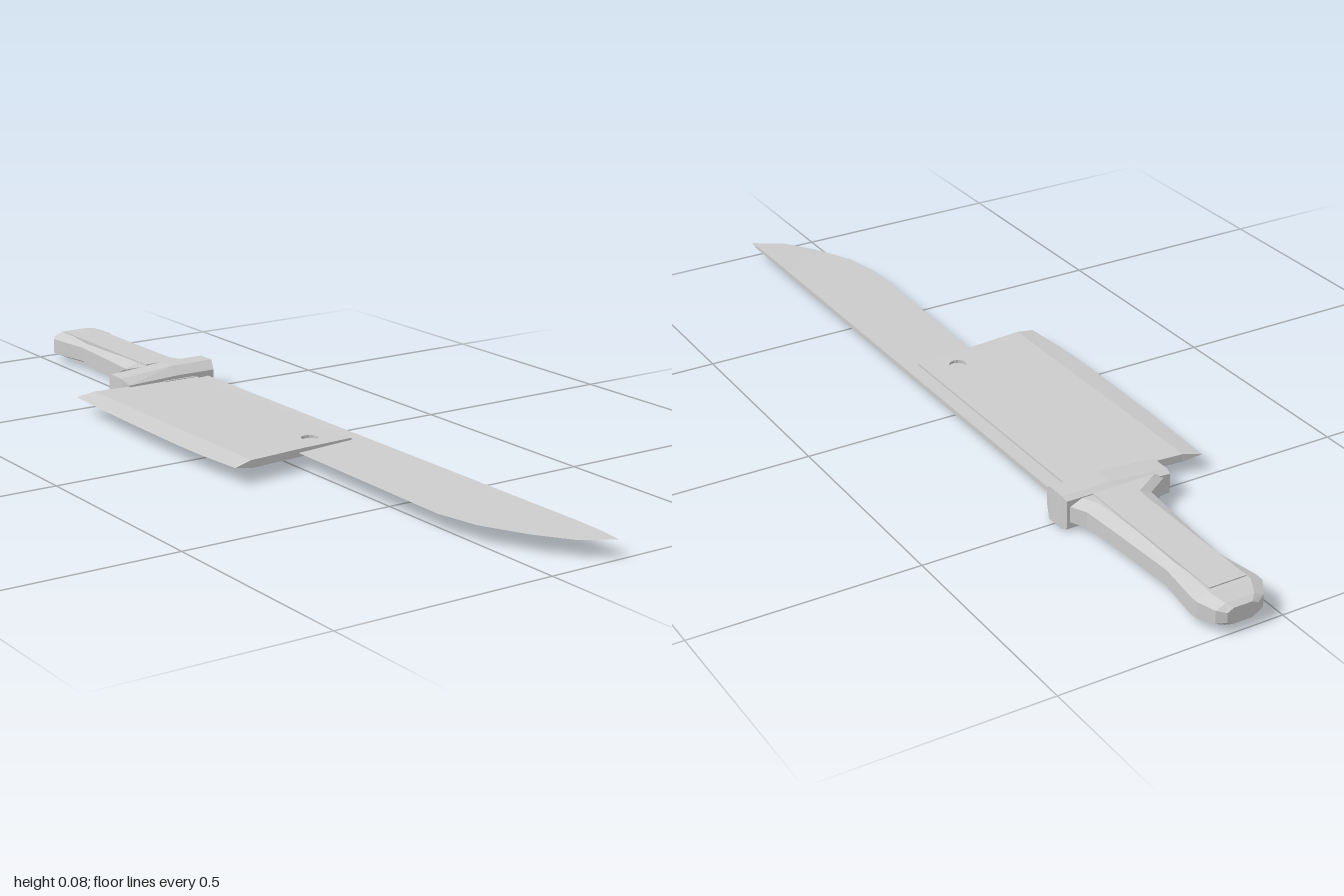
import * as THREE from 'three';

const MID = 0.038; // height of the flat middle plane
const material = new THREE.MeshStandardMaterial({ color: 0xcccccc, flatShading: true });

function part(name, geometry) {
  const mesh = new THREE.Mesh(geometry, material);
  mesh.name = name;
  return mesh;
}

// Skin convex cross-sections, ordered by rising z; points run counter-clockwise seen from +z
function loft(sections) {
  const pos = [];
  const tri = (...pts) => pts.forEach((p) => pos.push(...p));
  const rings = sections.map(([z, pts]) => pts.map(([x, y]) => [x, y, z]));
  const n = rings[0].length;
  for (let r = 0; r < rings.length - 1; r++) {
    for (let i = 0; i < n; i++) {
      const j = (i + 1) % n;
      const a = rings[r][i], b = rings[r][j], c = rings[r + 1][j], d = rings[r + 1][i];
      tri(a, b, c);
      tri(a, c, d);
    }
  }
  const first = rings[0], last = rings[rings.length - 1];
  for (let i = 1; i < n - 1; i++) {
    tri(first[0], first[i + 1], first[i]);
    tri(last[0], last[i], last[i + 1]);
  }
  const geometry = new THREE.BufferGeometry();
  geometry.setAttribute('position', new THREE.Float32BufferAttribute(pos, 3));
  geometry.computeVertexNormals();
  return geometry;
}

// Long knife blade: wedge with a thick spine at +x and a sharp edge at -x
function longBlade() {
  const spine = 0.17;
  const edge = [[-0.47, 0], [0.2, -0.01], [0.68, -0.02], [0.78, 0], [0.88, 0.05], [0.95, 0.1], [0.992, 0.165]];
  return loft(edge.map(([z, x]) => {
    const h = 0.0055 * Math.min(1, (spine - x) / 0.1);
    return [z, [[x, 0], [spine, -h], [spine, h]]];
  }));
}

// Cleaver body: flat plate with a round hanging hole
function cleaverPlate() {
  const outline = [[-0.14, -0.201], [0, -0.188], [0.135, -0.182], [0.135, 0.465], [0, 0.456], [-0.14, 0.468]];
  const shape = new THREE.Shape(outline.map(([x, y]) => new THREE.Vector2(x, y)));
  const hole = new THREE.Path();
  hole.absarc(0.06, -0.13, 0.02, 0, Math.PI * 2, true);
  shape.holes.push(hole);
  const geometry = new THREE.ExtrudeGeometry(shape, { depth: 0.018, bevelEnabled: false, curveSegments: 6 });
  return geometry.translate(0, 0, -0.009).rotateX(-Math.PI / 2);
}

// Ground cutting edge of the cleaver, gently curved
function cleaverEdge() {
  const stations = [[-0.476, -0.468, -0.184], [-0.25, -0.25, -0.193], [0, 0, -0.196], [0.1, 0.1, -0.193], [0.206, 0.201, -0.184]];
  const geometry = loft(stations.map(([z, , x]) => [z, [[x, 0], [-0.14, -0.009], [-0.14, 0.009]]]));
  // Slant both ends so they meet the plate
  const p = geometry.attributes.position;
  for (let i = 0; i < p.count; i++) {
    if (p.getX(i) > -0.15) {
      const s = stations.find((t) => Math.abs(t[0] - p.getZ(i)) < 1e-4);
      if (s) p.setZ(i, s[1]);
    }
  }
  geometry.computeVertexNormals();
  return geometry;
}

// Guard: tapers toward -x and is chamfered front and back
function guardGeometry() {
  const section = (inset, thin) => {
    const a = 0.026 * thin, b = 0.038 * thin;
    const x0 = -0.061 + inset, x1 = 0.194 - inset;
    return [[x0, -a], [0.08, -b], [x1, -b], [x1, b], [0.08, b], [x0, a]];
  };
  return loft([
    [-0.54, section(0.003, 0.85)],
    [-0.525, section(0, 1)],
    [-0.478, section(0, 1)],
    [-0.455, section(0.009, 0.5)],
  ]);
}

// Grip: eight-sided section, waisted, flared at the guard and swollen at the end
function gripGeometry() {
  const stations = [ // z, left x, right x, half height
    [-1, 0.06, 0.13, 0.018], [-0.987, 0.038, 0.148, 0.024], [-0.95, 0.014, 0.164, 0.03],
    [-0.93, 0.014, 0.164, 0.031], [-0.83, 0.03, 0.15, 0.029], [-0.7, 0.022, 0.157, 0.029],
    [-0.575, 0.012, 0.166, 0.03], [-0.535, -0.05, 0.186, 0.03],
  ];
  return loft(stations.map(([z, x0, x1, h]) => {
    const c = Math.min(0.028, (x1 - x0) * 0.2), s = h * 0.6;
    return [z, [[x0, -s], [x0 + c, -h], [x1 - c, -h], [x1, -s], [x1, s], [x1 - c, h], [x0 + c, h], [x0, s]]];
  }));
}

export function createModel() {
  const model = new THREE.Group();
  model.name = 'cleaverKnife';
  const body = new THREE.Group();
  body.name = 'knifeBody';
  body.position.y = MID;

  const strip = part('gripStrip', new THREE.BoxGeometry(0.085, 0.066, 0.4));
  strip.position.set(0.0875, 0, -0.74);
  const collar = part('bladeCollar', new THREE.BoxGeometry(0.085, 0.021, 0.02));
  collar.position.set(0.0875, 0, -0.46);

  body.add(
    part('longBlade', longBlade()),
    part('cleaverPlate', cleaverPlate()),
    part('cleaverEdge', cleaverEdge()),
    part('guard', guardGeometry()),
    part('grip', gripGeometry()),
    strip,
    collar,
  );
  model.add(body);
  return model;
}
